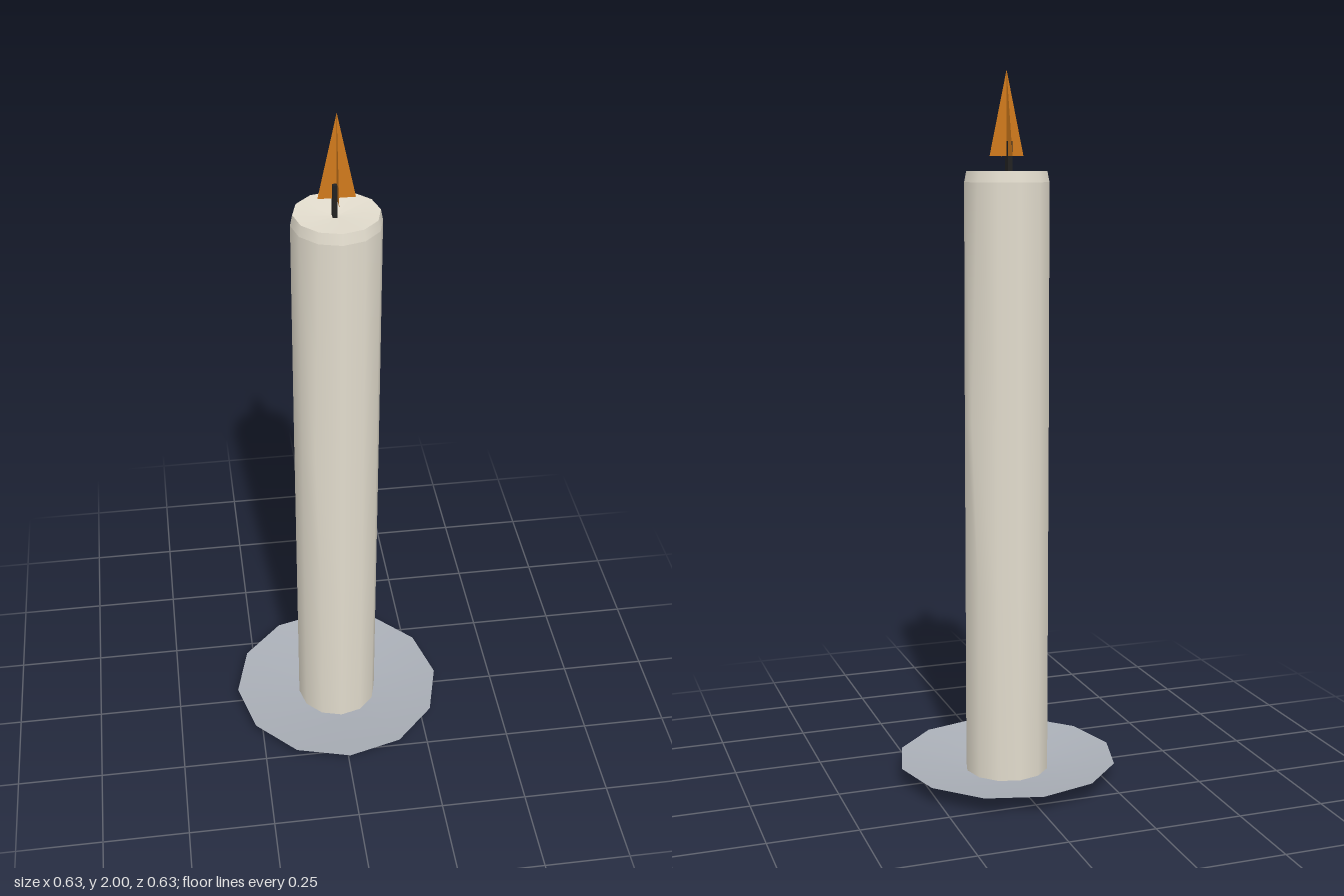
import * as THREE from 'three';

const SIDES = 12;

function mat(color) {
  return new THREE.MeshStandardMaterial({ color, side: THREE.DoubleSide });
}

function lathe(points) {
  return new THREE.LatheGeometry(points.map(([r, y]) => new THREE.Vector2(r, y)), SIDES);
}

export function createModel() {
  const group = new THREE.Group();
  const wax = mat(0xe2dccd);

  function add(name, geometry, material) {
    const mesh = new THREE.Mesh(geometry, material);
    mesh.name = name;
    group.add(mesh);
    return mesh;
  }

  // Shallow drip plate, a single thin surface
  add('dripPlate', lathe([[0, 0.02], [0.118, 0.02], [0.315, 0.05]]), mat(0xa9aeb6));

  // Candle wall, with two runs of wax swelling out at mid height
  const profile = [[0.113, 0], [0.12, 0.02], [0.12, 0.57], [0.12, 1.04], [0.119, 1.7]];
  const body = lathe(profile);
  const pos = body.attributes.position;
  const drips = [{ side: 4, radius: 0.145 }, { side: 11, radius: 0.15 }];
  for (const { side, radius } of drips) {
    const index = side * profile.length + 3;
    const scale = radius / 0.12;
    pos.setX(index, pos.getX(index) * scale);
    pos.setZ(index, pos.getZ(index) * scale);
  }
  add('candle', body, wax);

  // Bevelled rim and slightly sunken top
  add('candleRim', lathe([[0.119, 1.7], [0.113, 1.73]]), wax);
  add('candleTop', lathe([[0.113, 1.73], [0, 1.72]]), wax);

  // Wick, a little off centre
  add('wick', new THREE.BoxGeometry(0.012, 0.1, 0.026), mat(0x222222))
    .position.set(-0.006, 1.76, 0);

  // Flame made of two crossed upright triangles
  const outline = new THREE.Shape([
    new THREE.Vector2(-0.049, 1.77),
    new THREE.Vector2(0.049, 1.77),
    new THREE.Vector2(0, 2),
  ]);
  const flame = mat(0xd07a1c);
  for (let i = 0; i < 2; i++) {
    add('flameBlade', new THREE.ShapeGeometry(outline), flame).rotation.y = i * Math.PI / 2;
  }

  return group;
}
